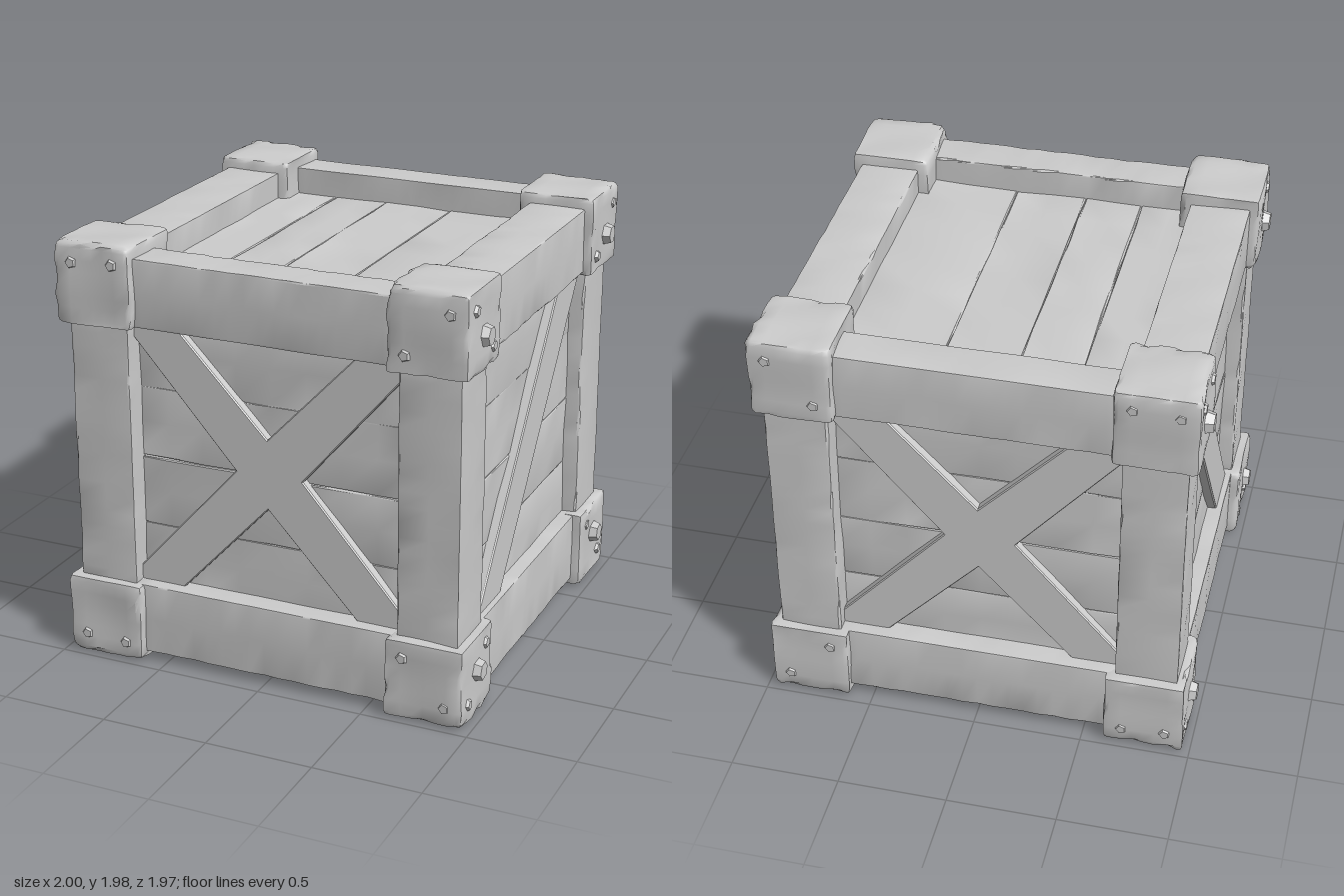
import * as THREE from 'three';
import { toCreasedNormals } from 'three/addons/utils/BufferGeometryUtils.js';

const grey = new THREE.MeshStandardMaterial({ color: 0xcccccc });

// Smooth repeatable noise in -1..1, so shared corners stay joined
const noise = (x, y, z, s) =>
  (Math.sin(x * 13.1 + y * 7.3 + s * 2.1) + Math.sin(y * 17.7 - z * 11.9 + s * 3.7) + Math.sin(z * 19.3 + x * 9.1 - s * 1.3)) / 3;

// Worn box: chamfered edges that are chipped unevenly, faces slightly dented
function wornBox(size, segs, { bevel = 0.01, chip = 0.008, dent = 0.003, crease = 0.6, seed = 1 } = {}) {
  const geo = new THREE.BoxGeometry(...size, ...segs);
  const pos = geo.attributes.position;
  for (let i = 0; i < pos.count; i++) {
    const p = [pos.getX(i), pos.getY(i), pos.getZ(i)];
    const offset = [0, 0, 0];
    let extremes = 0;
    for (let a = 0; a < 3; a++) {
      const half = size[a] / 2, step = size[a] / segs[a], m = Math.abs(p[a]);
      const sign = Math.sign(p[a]);
      if (m > half - step * 0.5) {
        p[a] = sign * (half - bevel);
        offset[a] = sign;
        extremes++;
      } else p[a] *= (half - bevel) / (half - step);
    }
    const n = noise(...p.map((c, a) => c + offset[a] * 0.1), seed);
    const sharp = noise(p[0] * 4 + 1, p[1] * 4, p[2] * 4, seed + 5);
    const reach = extremes > 1
      ? (bevel * 1.25 - chip * Math.max(0, sharp)) / Math.sqrt(extremes) + dent * n * 0.5
      : bevel + dent * n;
    pos.setXYZ(i, ...p.map((c, a) => c + offset[a] * reach));
  }
  return toCreasedNormals(geo, crease);
}

function add(parent, name, geo, x = 0, y = 0, z = 0) {
  const mesh = new THREE.Mesh(geo, grey);
  mesh.name = name;
  mesh.position.set(x, y, z);
  parent.add(mesh);
  return mesh;
}

// Flat brace cut from an outline, its back sunk into the planks
function brace(points) {
  const shape = new THREE.Shape(points.map(([x, y]) => new THREE.Vector2(x, y)));
  return new THREE.ExtrudeGeometry(shape, {
    depth: 0.06, bevelEnabled: true, bevelThickness: 0.006, bevelSize: 0.005, bevelOffset: -0.005, bevelSegments: 1,
  });
}

// Four boards in local XY facing +z; seams divide the height
function planks(seams, length, seed) {
  const wall = new THREE.Group();
  for (let i = 0; i < seams.length - 1; i++) {
    const h = seams[i + 1] - seams[i];
    const board = add(wall, 'plank', wornBox([length, h - 0.002, 0.06], [10, 4, 3],
      { bevel: 0.006, chip: 0.006, dent: 0.005, seed: seed + i }), 0, (seams[i] + seams[i + 1]) / 2, -0.03);
    board.rotation.x = (i % 2 ? 1 : -1) * 0.02;
  }
  return wall;
}

export function createModel() {
  const crate = new THREE.Group();
  crate.name = 'crate';
  const body = new THREE.Group();
  body.name = 'body';
  body.position.y = 1;
  crate.add(body);
  const signs = [-1, 1];

  // Inner core closes the gaps between boards
  add(body, 'core', new THREE.BoxGeometry(1.59, 1.5, 1.54));

  // Walls of boards with braces
  const wallSeams = [-0.66, -0.35, -0.02, 0.31, 0.66];
  const frontZ = 0.825, sideX = 0.852, braceSink = 0.022;
  const cross = brace([
    [0, 0.17], [0.43, 0.62], [0.66, 0.62], [0.66, 0.57], [0.17, 0],
    [0.66, -0.56], [0.66, -0.62], [0.43, -0.62], [0, -0.16],
    [-0.43, -0.62], [-0.66, -0.62], [-0.66, -0.56], [-0.155, 0],
    [-0.66, 0.57], [-0.66, 0.62], [-0.43, 0.62],
  ].reverse());
  for (const s of signs) {
    // Front and back: crossed braces
    const face = new THREE.Group();
    face.name = s > 0 ? 'frontWall' : 'backWall';
    face.rotation.y = s > 0 ? 0 : Math.PI;
    const wall = planks(wallSeams, 1.36, 10 + s);
    wall.position.z = frontZ;
    face.add(wall);
    add(face, 'crossBrace', cross, 0, 0, frontZ - braceSink);
    body.add(face);

    // Sides: one diagonal brace, its top towards the back
    const side = new THREE.Group();
    side.name = s > 0 ? 'leftWall' : 'rightWall';
    side.rotation.y = s * Math.PI / 2;
    const sideWall = planks(wallSeams, 1.36, 20 + s);
    sideWall.position.z = sideX;
    side.add(sideWall);
    add(side, 'diagonalBrace', brace(
      [[-0.62, -0.63], [-0.34, -0.63], [0.63, 0.61], [0.63, 0.63], [0.35, 0.63]].map(([x, y]) => [s * x, y])),
      0, 0, sideX - braceSink);
    body.add(side);

    // Lid sunk between the rails, floor almost flush; boards run front to back
    const panel = planks([-0.67, -0.4, -0.13, 0.2, 0.67], 1.5, 30 + s);
    panel.name = s > 0 ? 'lid' : 'floor';
    panel.rotation.set(-s * Math.PI / 2, 0, -Math.PI / 2);
    panel.position.y = s > 0 ? 0.805 : -0.92;
    body.add(panel);
  }

  // Posts and rails of the frame
  for (const a of signs) for (const b of signs) {
    const seed = 3 * a + b + 40;
    const upper = a > 0;
    const railY = upper ? 0.775 : -0.78, railH = upper ? 0.31 : 0.335;
    add(body, 'post', wornBox([0.284, 1.3, 0.287], [4, 20, 4], { seed }), a * 0.782, 0, b * 0.785);
    add(body, upper ? 'upperRail' : 'lowerRail',
      wornBox([1.3, railH, 0.19], [20, 4, 3], { seed: seed + 7 }), 0, railY, b * 0.835);
    add(body, upper ? 'upperSideRail' : 'lowerSideRail',
      wornBox([0.274, railH, 1.3], [4, 4, 20], { seed: seed + 13 }), b * 0.787, railY, 0);
  }

  // Corner caps with dents, a bolt on each side face and small nails
  const stud = (top, bottom, height, sides) => {
    const geo = new THREE.CylinderGeometry(top, bottom, height, sides).toNonIndexed();
    geo.rotateZ(-Math.PI / 2);
    geo.computeVertexNormals();
    return geo;
  };
  const bolt = stud(0.042, 0.06, 0.06, 6);
  const nail = stud(0.022, 0.036, 0.024, 5);
  for (const x of signs) for (const y of signs) for (const z of signs) {
    const cap = new THREE.Group();
    cap.name = 'corner';
    cap.position.set(x * 0.783, y * 0.797, z * 0.789);
    body.add(cap);
    const seed = 5 * x + 3 * y + z + 60;
    add(cap, 'cornerCap', wornBox([0.366, 0.372, 0.372], [8, 8, 8],
      { bevel: 0.025, chip: 0.018, dent: 0.009, crease: 0.9, seed }));
    const head = add(cap, 'bolt', bolt, x * 0.187, -y * 0.03, z * 0.01);
    head.rotation.set(seed, x > 0 ? 0 : Math.PI, 0);
    for (const [u, v] of [[0.1, 0.1], [-0.1, -0.11 * x]]) {
      const sideNail = add(cap, 'nail', nail, x * 0.18, y * v, z * u);
      sideNail.rotation.y = x > 0 ? 0 : Math.PI;
      const faceNail = add(cap, 'nail', nail, x * u, y * v * 0.95, z * 0.183);
      faceNail.rotation.y = -z * Math.PI / 2;
    }
  }
  return crate;
}
